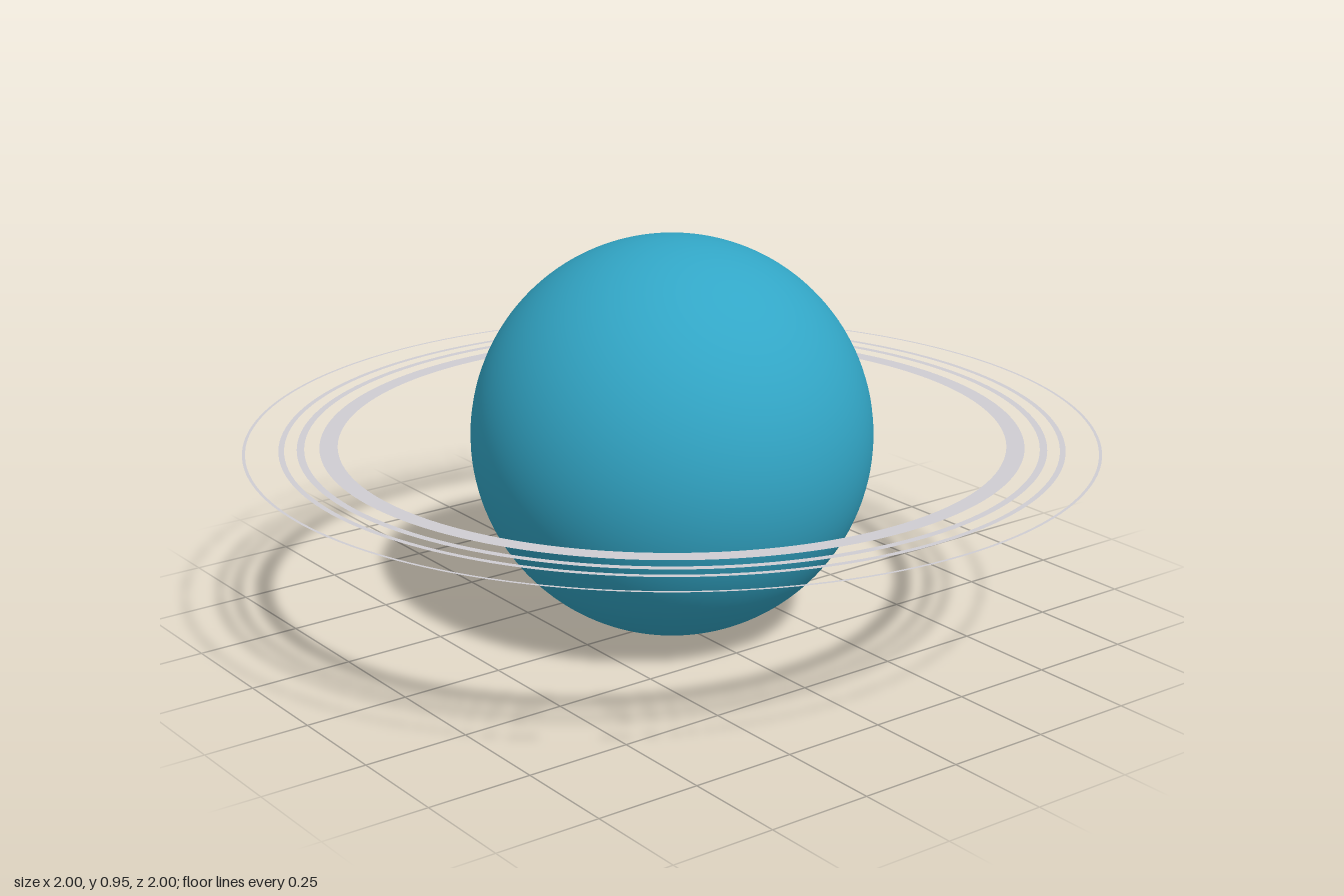
import * as THREE from 'three';

const RADIUS = 0.473;

// [name, inner radius, outer radius]
const RINGS = [
  ['broadInnerRing', 0.781, 0.823],
  ['secondRing', 0.858, 0.875],
  ['thirdRing', 0.904, 0.917],
  ['thinOuterRing', 0.993, 1.0],
];

export function createModel() {
  const model = new THREE.Group();
  model.name = 'ringedPlanet';

  const planetBlue = new THREE.MeshStandardMaterial({ color: 0x32a6c6 });
  planetBlue.name = 'planetBlue';
  const ringGrey = new THREE.MeshStandardMaterial({ color: 0xcfcdd2, side: THREE.DoubleSide });
  ringGrey.name = 'ringGrey';

  // Smooth globe
  const globe = new THREE.Mesh(new THREE.SphereGeometry(RADIUS, 96, 64), planetBlue);
  globe.name = 'globe';
  globe.position.y = RADIUS;
  model.add(globe);

  // Flat rings around the equator
  const rings = new THREE.Group();
  rings.name = 'rings';
  rings.position.y = RADIUS;
  for (const [name, inner, outer] of RINGS) {
    const geometry = new THREE.RingGeometry(inner, outer, 160).rotateX(-Math.PI / 2);
    const ring = new THREE.Mesh(geometry, ringGrey);
    ring.name = name;
    rings.add(ring);
  }
  model.add(rings);

  return model;
}
